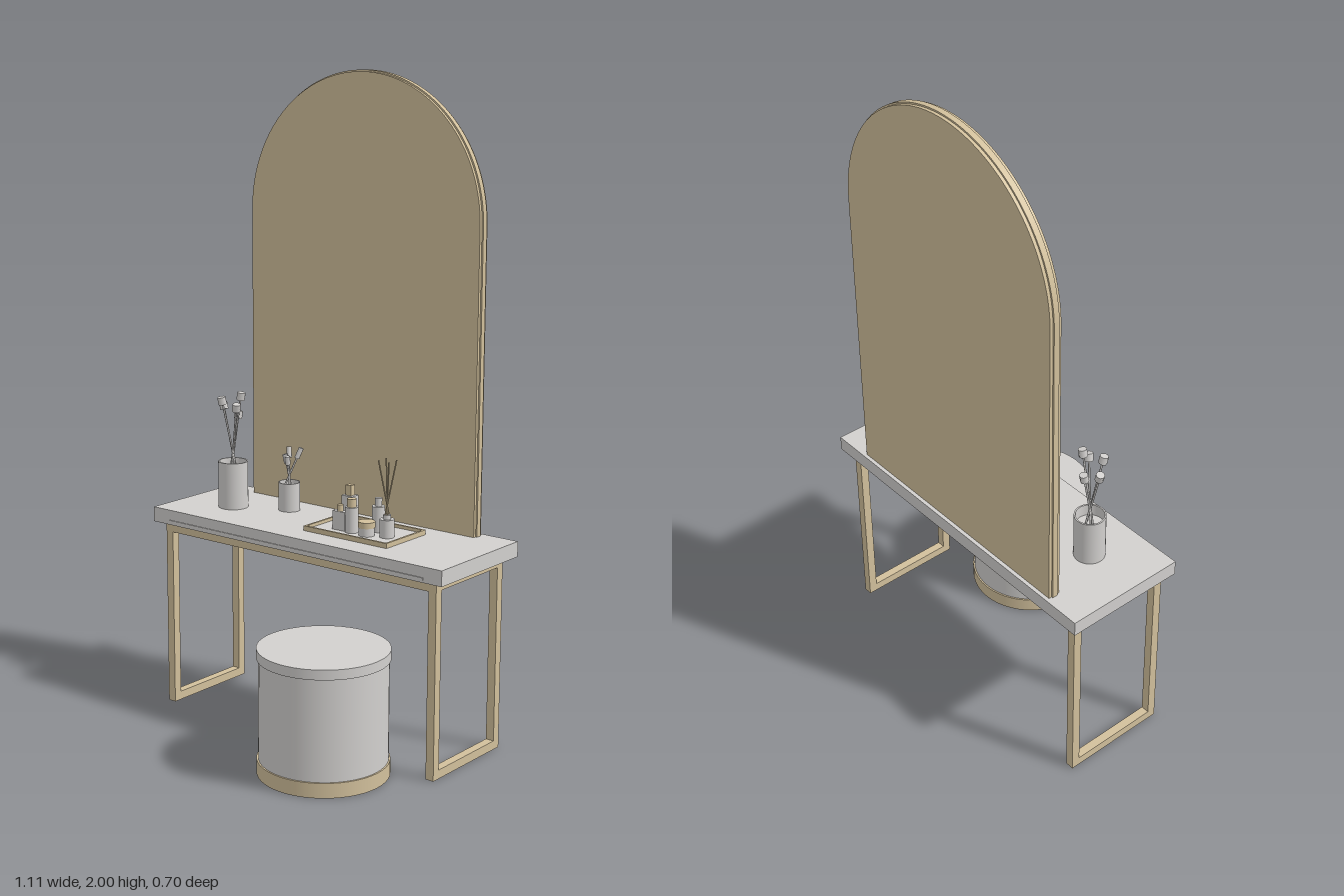
import * as THREE from 'three';

const mat = (name, color) => {
  const m = new THREE.MeshStandardMaterial({ color, flatShading: false });
  m.name = name;
  return m;
};

export function createModel() {
  const model = new THREE.Group();
  model.name = 'vanityTable';
  const stone = mat('pale grey', 0xd2d0ce);
  const brass = mat('warm brass', 0xd2c09c);

  const group = (name, parent = model) => {
    const g = new THREE.Group();
    g.name = name;
    parent.add(g);
    return g;
  };
  const add = (parent, name, geo, material, x = 0, y = 0, z = 0) => {
    const mesh = new THREE.Mesh(geo, material);
    mesh.name = name;
    mesh.position.set(x, y, z);
    parent.add(mesh);
    return mesh;
  };
  // Box given by its minimum and maximum corners
  const box = (parent, name, material, x0, x1, y0, y1, z0, z1) =>
    add(parent, name, new THREE.BoxGeometry(x1 - x0, y1 - y0, z1 - z0), material,
      (x0 + x1) / 2, (y0 + y1) / 2, (z0 + z1) / 2);
  // Upright cylinder between two heights
  const drum = (parent, name, material, x, z, r, y0, y1, seg = 24) =>
    add(parent, name, new THREE.CylinderGeometry(r, r, y1 - y0, seg), material, x, (y0 + y1) / 2, z);
  // Thin rod between two points
  const rod = (parent, name, material, a, b, r) => {
    const dir = b.clone().sub(a);
    const mesh = add(parent, name, new THREE.CylinderGeometry(r, r, dir.length(), 8), material);
    mesh.position.copy(a).lerp(b, 0.5);
    mesh.quaternion.setFromUnitVectors(new THREE.Vector3(0, 1, 0), dir.normalize());
    return mesh;
  };
  const V = (x, y, z) => new THREE.Vector3(x, y, z);

  // Table top with a slim strip along the front edge
  const top = 0.642;
  box(model, 'tableTop', stone, -0.553, 0.553, 0.595, top, -0.353, 0.037);
  box(model, 'frontStrip', stone, -0.49, 0.49, 0.602, 0.61, 0.036, 0.04);

  // Leg frames, one loop at each end, joined by two long rails
  const legs = group('legFrame');
  const t = 0.027, zf = 0.015, zb = -0.324;
  for (const s of [-1, 1]) {
    const x0 = s > 0 ? 0.493 : -0.52, x1 = x0 + t;
    box(legs, 'frontLeg', brass, x0, x1, 0, 0.595, zf - t, zf);
    box(legs, 'backLeg', brass, x0, x1, 0, 0.595, zb, zb + t);
    box(legs, 'footRail', brass, x0, x1, 0, t, zb + t, zf - t);
    box(legs, 'sideRail', brass, x0, x1, 0.595 - t, 0.595, zb + t, zf - t);
  }
  for (const z of [zf - t, zb]) {
    box(legs, 'longRail', brass, -0.493, 0.493, 0.565, 0.595, z, z + t);
  }

  // Arched mirror: a panel with a slightly wider band around its middle
  const arch = (r) => {
    const s = new THREE.Shape();
    s.moveTo(-r, top);
    s.lineTo(r, top);
    s.lineTo(r, 1.565);
    s.absarc(0, 1.565, r, 0, Math.PI, false);
    s.closePath();
    return s;
  };
  const slab = (r, depth) => new THREE.ExtrudeGeometry(arch(r), { depth, bevelEnabled: false, curveSegments: 40 });
  const mirror = group('mirror');
  add(mirror, 'mirrorPanel', slab(0.43, 0.038), brass, 0, 0, -0.341);
  add(mirror, 'mirrorBand', slab(0.435, 0.018), brass, 0, 0, -0.331);

  // Round stool
  const stool = group('stool');
  drum(stool, 'stoolBase', brass, 0.228, 0.155, 0.195, 0, 0.045, 48);
  drum(stool, 'stoolBody', stone, 0.228, 0.155, 0.19, 0.045, 0.35, 48);
  drum(stool, 'stoolSeat', stone, 0.228, 0.155, 0.195, 0.35, 0.38, 48);

  // Open vessel with a hollow inside
  const vessel = (parent, name, x, z, r, h) => {
    const w = r * 0.9;
    const pts = [[0, 0], [r, 0], [r, 0], [r, h], [r, h], [w, h], [w, h], [w, h * 0.75], [w, h * 0.75], [0, h * 0.75]];
    add(parent, name, new THREE.LatheGeometry(pts.map(p => new THREE.Vector2(...p)), 32), stone, x, top, z);
  };

  // Vase with budded stems
  const vase = group('flowerVase');
  vessel(vase, 'vase', -0.363, -0.127, 0.047, 0.148);
  const buds = [
    [-0.409, 0.96, -0.136], [-0.36, 0.935, -0.15], [-0.332, 1.0, -0.131],
    [-0.327, 0.968, -0.103], [-0.379, 0.985, -0.095],
  ];
  for (const [x, y, z] of buds) {
    const tip = V(x, y, z), foot = V(-0.363 - (x + 0.363) * 0.4, 0.75, -0.127 - (z + 0.127) * 0.4);
    rod(vase, 'stem', stone, foot, tip, 0.003);
    const up = tip.clone().sub(foot).normalize().multiplyScalar(0.012);
    rod(vase, 'bud', stone, tip.clone().sub(up), tip.clone().add(up), 0.013);
  }

  // Cup of brushes
  const cup = group('brushCup');
  vessel(cup, 'cup', -0.2, -0.207, 0.034, 0.09);
  for (const [x, y, z] of [[-0.172, 0.84, -0.232], [-0.218, 0.838, -0.228], [-0.198, 0.815, -0.195], [-0.212, 0.82, -0.2]]) {
    const tip = V(x, y, z), foot = V(-0.2 - (x + 0.2) * 0.5, 0.71, -0.207 - (z + 0.207) * 0.5);
    rod(cup, 'brushHandle', stone, foot, tip, 0.003);
    rod(cup, 'brushHead', stone, tip.clone().lerp(foot, 0.25), tip, 0.008);
  }

  // Tray with a narrow rim
  const tray = group('tray');
  const [x0, x1, z0, z1, e] = [-0.01, 0.3, -0.24, -0.045, 0.007];
  box(tray, 'trayFloor', stone, x0 + e, x1 - e, top, 0.647, z0 + e, z1 - e);
  for (const z of [z0, z1 - e]) box(tray, 'trayRim', brass, x0, x1, top, 0.657, z, z + e);
  for (const x of [x0, x1 - e]) box(tray, 'trayRim', brass, x, x + e, top, 0.657, z0 + e, z1 - e);

  // Bottles and jars
  const y0 = 0.647;
  const bottles = group('bottles', tray);
  box(bottles, 'squareBottle', stone, 0.043, 0.083, y0, 0.738, -0.194, -0.161);
  box(bottles, 'squareCap', brass, 0.053, 0.074, 0.738, 0.77, -0.187, -0.168);
  box(bottles, 'flatBottle', stone, 0.056, 0.102, y0, 0.705, -0.121, -0.1);
  drum(bottles, 'flatBottleCap', brass, 0.079, -0.11, 0.009, 0.705, 0.725);
  drum(bottles, 'roundBottle', stone, 0.122, -0.11, 0.02, y0, 0.725);
  drum(bottles, 'roundCap', brass, 0.122, -0.11, 0.014, 0.725, 0.75);
  drum(bottles, 'tallBottle', stone, 0.178, -0.168, 0.02, y0, 0.725);
  drum(bottles, 'tallBottleNeck', stone, 0.178, -0.168, 0.011, 0.725, 0.75);
  drum(bottles, 'jar', stone, 0.178, -0.11, 0.024, y0, 0.672);
  drum(bottles, 'jarLid', brass, 0.178, -0.11, 0.026, 0.672, 0.69);

  // Reed diffuser
  const diffuser = group('diffuser', tray);
  drum(diffuser, 'diffuserBottle', stone, 0.236, -0.133, 0.022, y0, 0.702);
  drum(diffuser, 'diffuserNeck', stone, 0.236, -0.133, 0.012, 0.702, 0.715);
  for (const sx of [-1, 1]) for (const sz of [-1, 1]) {
    rod(diffuser, 'reed', brass, V(0.236 - sx * 0.006, 0.7, -0.133 - sz * 0.006),
      V(0.236 + sx * 0.019, 0.88, -0.133 + sz * 0.019), 0.0022);
  }
  return model;
}
